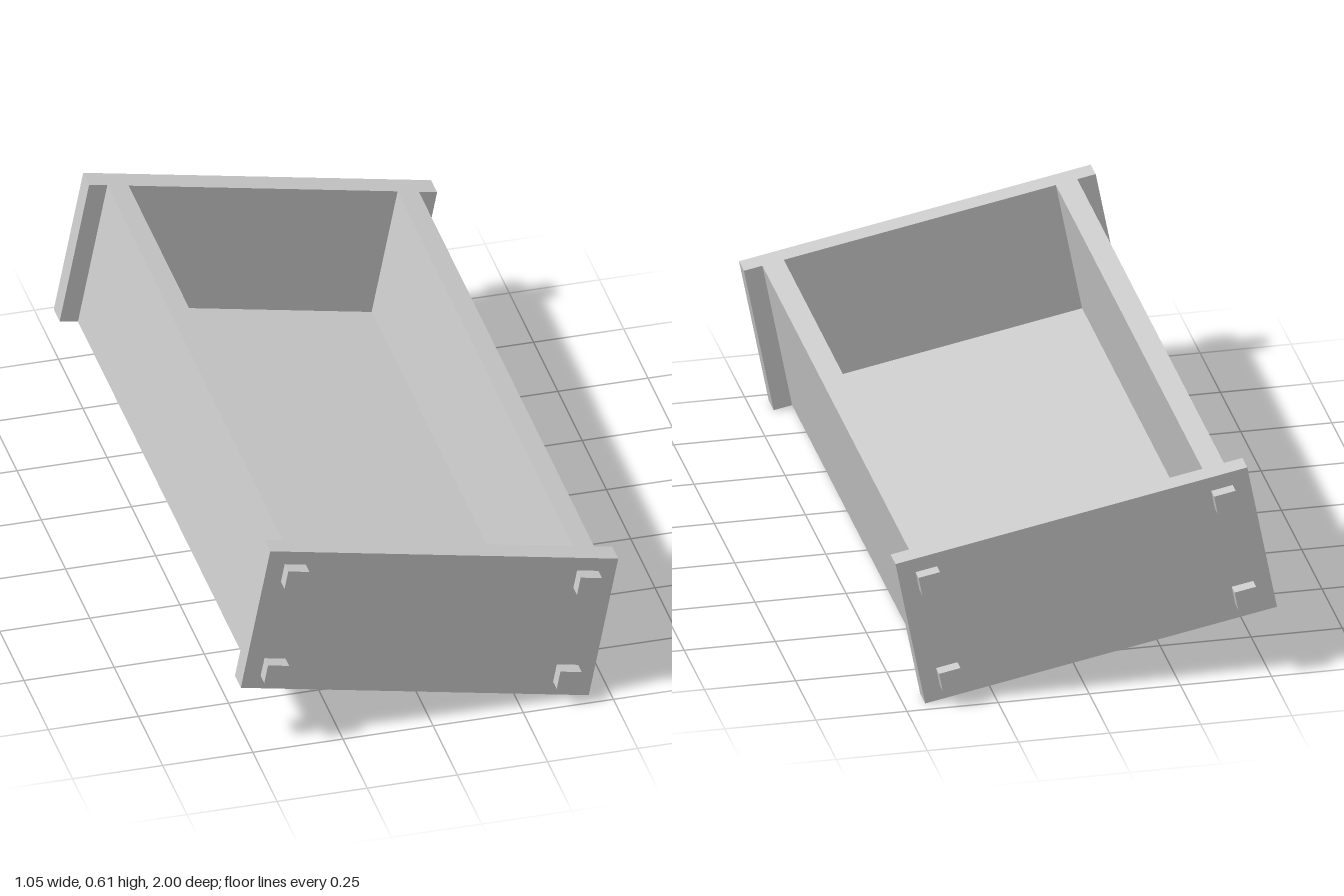
import * as THREE from 'three';

export function createModel() {
  const root = new THREE.Group();
  root.name = 'planterBox';
  const material = new THREE.MeshStandardMaterial({ color: 0xcccccc, flatShading: true });

  // The whole box leans sideways and rests on one lower edge
  const tilt = new THREE.Group();
  tilt.name = 'tiltedBox';
  tilt.rotation.z = -0.191;
  tilt.position.y = 0.305;
  root.add(tilt);

  const addBox = (name, size, position) => {
    const mesh = new THREE.Mesh(new THREE.BoxGeometry(...size), material);
    mesh.name = name;
    mesh.position.set(...position);
    tilt.add(mesh);
  };

  const height = 0.43, wall = 0.06, halfWidth = 0.44;
  const inner = 0.902, outer = 0.963, floor = 0.05;

  // Floor between the side walls
  addBox('floor', [2 * (halfWidth - wall), floor, 2 * inner], [0, (floor - height) / 2, 0]);

  for (const s of [1, -1]) {
    // Long side wall
    addBox(s > 0 ? 'leftWall' : 'rightWall', [wall, height, 2 * inner], [s * (halfWidth - wall / 2), 0, 0]);

    // End board, wider than the box
    const end = s > 0 ? 'front' : 'back';
    addBox(end + 'Board', [0.983, height, outer - inner], [0, 0, s * (inner + outer) / 2]);

    // Four square pegs standing out of the end board
    for (const x of [-0.413, 0.413])
      for (const y of [-0.148, 0.148])
        addBox(end + 'Peg', [0.06, 0.055, 1 - outer], [x, y, s * (1 + outer) / 2]);
  }
  return root;
}
